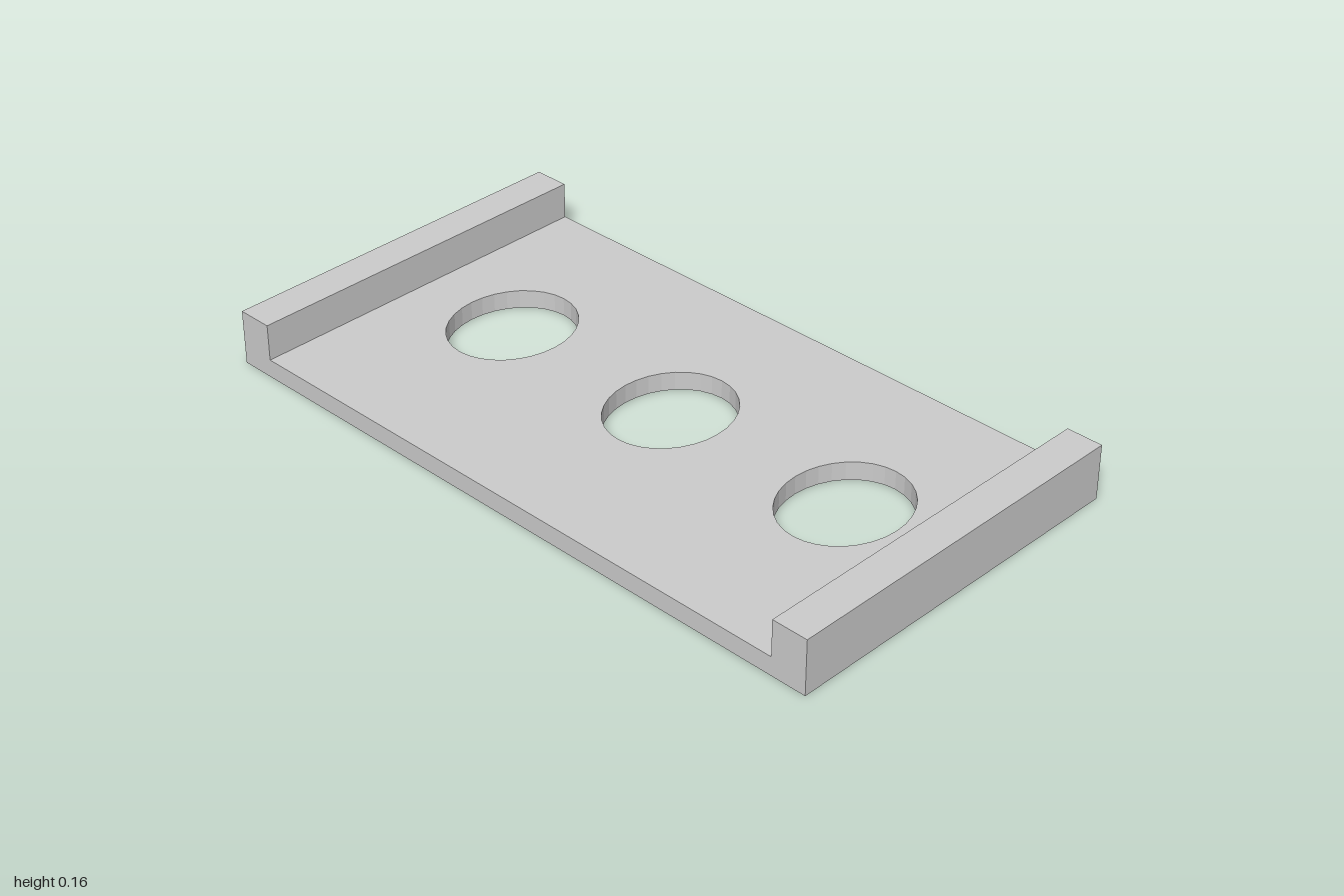
import * as THREE from 'three';

const HALF_DEPTH = 0.54;
const HEIGHT = 0.16;
const PLATE = 0.054;
const RAIL = 0.105;

export function createModel() {
  const group = new THREE.Group();
  const material = new THREE.MeshStandardMaterial({ color: 0xcccccc, flatShading: true });

  function add(name, geometry, x = 0, y = 0, z = 0) {
    const mesh = new THREE.Mesh(geometry, material);
    mesh.name = name;
    mesh.position.set(x, y, z);
    group.add(mesh);
  }

  // Base plate between the rails, pierced by three oval holes
  const inner = 1 - RAIL;
  const outline = new THREE.Shape([
    new THREE.Vector2(-inner, -HALF_DEPTH),
    new THREE.Vector2(inner, -HALF_DEPTH),
    new THREE.Vector2(inner, HALF_DEPTH),
    new THREE.Vector2(-inner, HALF_DEPTH),
  ]);
  for (let i = -1; i <= 1; i++) {
    const hole = new THREE.Path();
    hole.absellipse(0.024 + i * 0.594, 0.03, 0.164, 0.191, 0, Math.PI * 2, true);
    outline.holes.push(hole);
  }
  const plate = new THREE.ExtrudeGeometry(outline, {
    depth: PLATE, bevelEnabled: false, curveSegments: 16,
  });
  plate.rotateX(-Math.PI / 2);
  add('basePlate', plate);

  // Raised rails along both short edges
  for (const side of [-1, 1]) {
    add(side > 0 ? 'leftRail' : 'rightRail',
      new THREE.BoxGeometry(RAIL, HEIGHT, HALF_DEPTH * 2),
      side * (1 - RAIL / 2), HEIGHT / 2);
  }
  return group;
}
